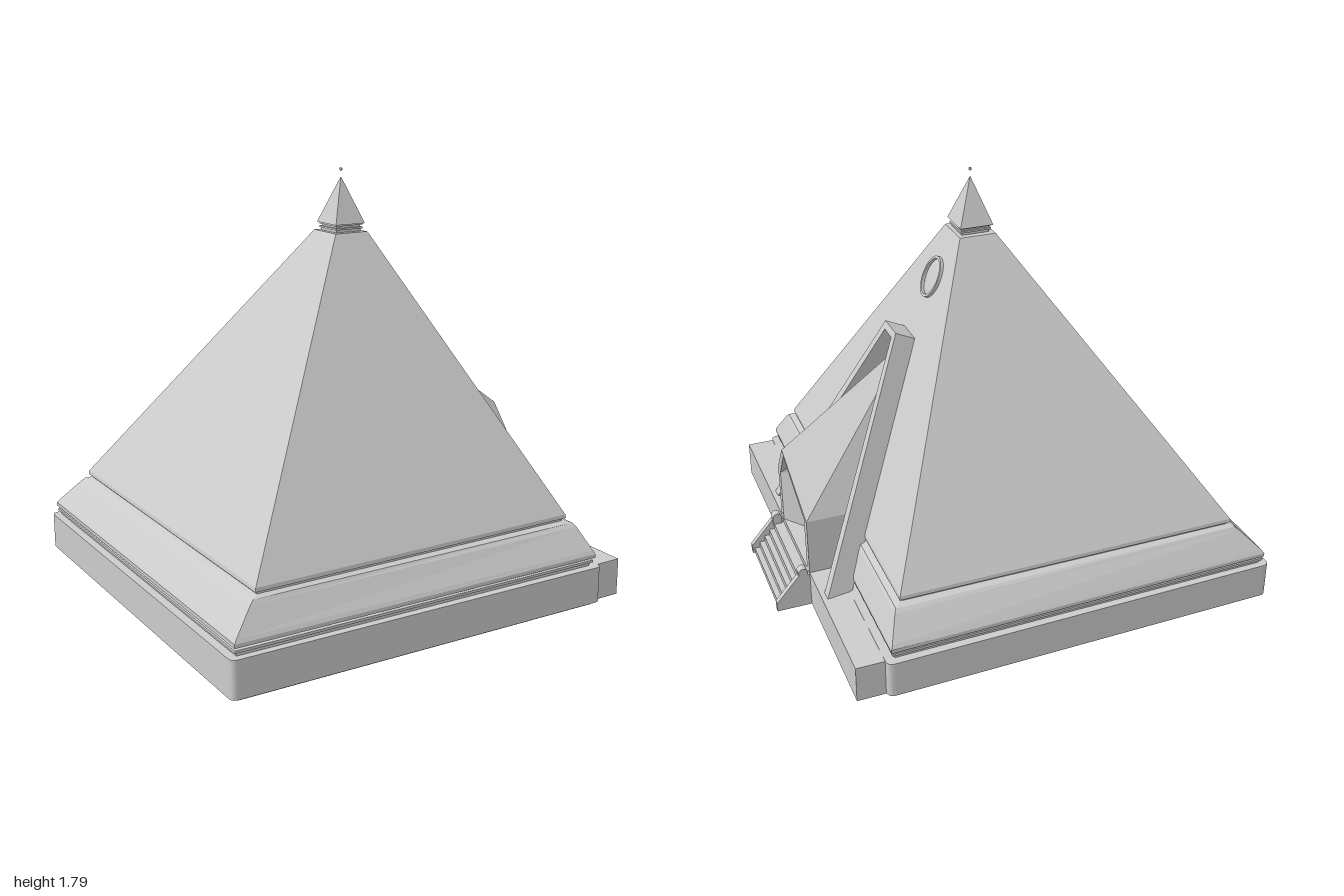
import * as THREE from 'three';

const mat = new THREE.MeshStandardMaterial({ color: 0xcccccc, flatShading: true, side: THREE.DoubleSide });

function add(group, name, geo) {
  const mesh = new THREE.Mesh(geo, mat);
  mesh.name = name;
  group.add(mesh);
  return mesh;
}

function box(group, name, x0, x1, y0, y1, z0, z1) {
  const m = add(group, name, new THREE.BoxGeometry(x1 - x0, y1 - y0, z1 - z0));
  m.position.set((x0 + x1) / 2, (y0 + y1) / 2, (z0 + z1) / 2);
  return m;
}

// Flat-shaded surface from polygons, each a fan of [x, y, z] corners
function polys(faces) {
  const pos = [];
  for (const f of faces)
    for (let i = 1; i < f.length - 1; i++) pos.push(...f[0], ...f[i], ...f[i + 1]);
  const g = new THREE.BufferGeometry();
  g.setAttribute('position', new THREE.Float32BufferAttribute(pos, 3));
  g.computeVertexNormals();
  return g;
}

// Stack of four-sided sections [y, xBack, xFront, zBack, zFront]
function loft(sections) {
  const rings = sections.map(([y, x0, x1, zb, zf]) => [[x1, y, zf], [x1, y, -zf], [x0, y, -zb], [x0, y, zb]]);
  const faces = [[...rings[0]].reverse(), rings[rings.length - 1]];
  for (let s = 0; s < rings.length - 1; s++)
    for (let i = 0; i < 4; i++) {
      const j = (i + 1) % 4;
      faces.push([rings[s][i], rings[s][j], rings[s + 1][j], rings[s + 1][i]]);
    }
  return polys(faces);
}

// Plan outline with rounded corners, widening toward the entrance
function plan(x0, x1, zb, zf, r) {
  const s = new THREE.Shape();
  s.moveTo(x0 + r, -zb);
  s.lineTo(x1 - r, -zf);
  s.quadraticCurveTo(x1, -zf, x1, -zf + r);
  s.lineTo(x1, zf - r);
  s.quadraticCurveTo(x1, zf, x1 - r, zf);
  s.lineTo(x0 + r, zb);
  s.quadraticCurveTo(x0, zb, x0, zb - r);
  s.lineTo(x0, -zb + r);
  s.quadraticCurveTo(x0, -zb, x0 + r, -zb);
  return s;
}

function slab(shape, y, h) {
  return new THREE.ExtrudeGeometry(shape, { depth: h, bevelEnabled: false, curveSegments: 5 })
    .rotateX(-Math.PI / 2).translate(0, y, 0);
}

// Sloping entrance face: x at a given height, and a frame lying on it
const faceX = y => 0.10 + (1.52 - y) * 0.463;
function onFace(geo, y) {
  const v = new THREE.Vector3(-0.463, 1, 0).normalize();
  const n = new THREE.Vector3(v.y, -v.x, 0);
  const m = new THREE.Matrix4().makeBasis(new THREE.Vector3(0, 0, -1), v, n);
  return geo.applyMatrix4(m.setPosition(faceX(y), y, 0));
}

function buildPorch(root) {
  const porch = new THREE.Group();
  porch.name = 'porch';
  const ridge = [0.88, 0.645, 0], top = [faceX(1.06), 1.06, 0];
  const innerRidge = [0.875, 0.61, 0], backRidge = [0.745, 0.61, 0];
  const roof = [], walls = [], lining = [];
  for (const s of [1, -1]) {
    const z = 0.24 * s, zi = 0.2 * s, zb = 0.065 * s;
    const eave = [0.85, 0.42, z], back = [faceX(0.42), 0.42, z];
    const eaveIn = [0.85, 0.41, zi], floorIn = [0.85, 0.165, zi];
    const eaveBack = [0.745, 0.46, zb], floorBack = [0.745, 0.165, zb];
    // All faces are listed for the +z half and reversed for the other
    const put = (list, ...f) => list.push(s > 0 ? f : f.reverse());
    put(roof, ridge, top, eave);
    put(roof, eave, top, back);
    put(walls, [0.85, 0.165, z], eave, back, [0.62, 0.165, z]);
    put(walls, floorIn, eaveIn, eave, [0.85, 0.165, z]);
    put(walls, eaveIn, innerRidge, ridge, eave);
    put(lining, floorIn, floorBack, eaveBack, eaveIn);
    put(lining, eaveIn, eaveBack, backRidge, innerRidge);
    put(lining, [0.745, 0.165, 0], backRidge, eaveBack, floorBack);
  }
  add(porch, 'porchRoof', polys(roof));
  add(porch, 'porchWalls', polys(walls));
  add(porch, 'porchLining', polys(lining));
  // Doorway
  box(porch, 'doorLintel', 0.74, 0.80, 0.32, 0.365, -0.045, 0.045);
  for (const s of [1, -1])
    box(porch, 'doorJamb', 0.74, 0.775, 0.165, 0.32, s * 0.05 - 0.01, s * 0.05 + 0.01);
  root.add(porch);
}

function buildStairs(root) {
  const stairs = new THREE.Group();
  stairs.name = 'stairs';
  const n = 5;
  for (let i = 0; i < n; i++)
    box(stairs, 'step', 0.84, 0.99 - i * 0.024, i * 0.028, 0.028 * (i + 1), -0.22, 0.22);
  // Sloping side walls with a small rounded newel
  const cheek = new THREE.Shape();
  [[0.85, 0.005], [1, 0.005], [1, 0.045], [0.9, 0.16], [0.85, 0.16]]
    .forEach(([x, y], i) => (i ? cheek.lineTo(x, y) : cheek.moveTo(x, y)));
  for (const s of [1, -1]) {
    const g = new THREE.ExtrudeGeometry(cheek, { depth: 0.025, bevelEnabled: false });
    add(stairs, 'stairSideWall', g.translate(0, 0, s * 0.23 - 0.0125));
    const newel = add(stairs, 'newel', new THREE.CylinderGeometry(0.02, 0.02, 0.035, 12).rotateX(Math.PI / 2));
    newel.position.set(0.879, 0.172, s * 0.225);
    box(stairs, 'newelBlock', 0.86, 0.898, 0.14, 0.172, s * 0.225 - 0.0175, s * 0.225 + 0.0175);
  }
  root.add(stairs);
}

export function createModel() {
  const root = new THREE.Group();
  root.name = 'pyramidBuilding';

  // Plinth and entrance terrace
  add(root, 'plinthFoot', slab(plan(-0.985, 0.715, 0.89, 0.92, 0.03), 0, 0.012));
  add(root, 'plinth', slab(plan(-1, 0.73, 0.905, 0.936, 0.03), 0.01, 0.157));
  box(root, 'terrace', 0.6, 0.85, 0.005, 0.165, -0.905, 0.905);

  // Moulded sloping base course
  add(root, 'baseCourse', loft([
    [0.165, -0.965, 0.69, 0.875, 0.90], [0.18, -0.965, 0.69, 0.875, 0.90],
    [0.182, -0.975, 0.70, 0.885, 0.91], [0.193, -0.975, 0.70, 0.885, 0.91],
    [0.195, -0.96, 0.685, 0.87, 0.895], [0.202, -0.96, 0.685, 0.87, 0.895],
    [0.204, -0.978, 0.706, 0.89, 0.917], [0.22, -0.978, 0.706, 0.89, 0.917],
    [0.235, -0.967, 0.70, 0.882, 0.908], [0.325, -0.88, 0.664, 0.828, 0.84],
    [0.34, -0.862, 0.655, 0.818, 0.825], [0.347, -0.84, 0.63, 0.80, 0.80]]));

  // Main pyramid above a narrow groove
  add(root, 'pyramid', loft([
    [0.345, -0.835, 0.62, 0.795, 0.795], [0.357, -0.835, 0.62, 0.795, 0.795],
    [0.36, -0.848, 0.632, 0.808, 0.808], [0.376, -0.845, 0.63, 0.806, 0.806],
    [1.522, -0.057, 0.1, 0.087, 0.087]]));

  // Finial: stepped neck, small pyramid and ball
  const cx = 0.022;
  [[1.52, 1.533, 0.06], [1.533, 1.541, 0.066], [1.541, 1.549, 0.059], [1.549, 1.558, 0.066]]
    .forEach(([a, b, h]) => box(root, 'finialNeck', cx - h, cx + h, a, b, -h, h));
  add(root, 'finialCap', loft([
    [1.556, cx - 0.072, cx + 0.072, 0.077, 0.077], [1.748, cx - 0.001, cx + 0.001, 0.001, 0.001]]));
  add(root, 'finialBall', new THREE.SphereGeometry(0.007, 10, 8)).position.set(cx, 1.781, 0);

  // Oval window with raised rim
  const rim = new THREE.Shape().absellipse(0, 0, 0.076, 0.09, 0, Math.PI * 2);
  rim.holes.push(new THREE.Path().absellipse(0, 0, 0.066, 0.079, 0, Math.PI * 2));
  add(root, 'windowRim', onFace(new THREE.ExtrudeGeometry(rim, { depth: 0.014, bevelEnabled: false, curveSegments: 24 }), 1.33));
  const pane = new THREE.SphereGeometry(1, 28, 8).scale(0.066, 0.079, 0.008);
  add(root, 'windowPane', onFace(pane, 1.33));

  // Inverted V frame on the entrance face, feet sunk in the terrace
  const frame = new THREE.Shape();
  [[-0.459, -0.08], [-0.41, -0.08], [-0.042, 0.995], [0.042, 0.995], [0.41, -0.08], [0.459, -0.08], [0.068, 1.025], [-0.068, 1.025]]
    .forEach(([u, v], i) => (i ? frame.lineTo(u, v) : frame.moveTo(u, v)));
  const frameGeo = new THREE.ExtrudeGeometry(frame, { depth: 0.1, bevelEnabled: false });
  add(root, 'entranceFrame', onFace(frameGeo.translate(0, 0, -0.008), 0.165));

  buildPorch(root);
  buildStairs(root);
  return root;
}
